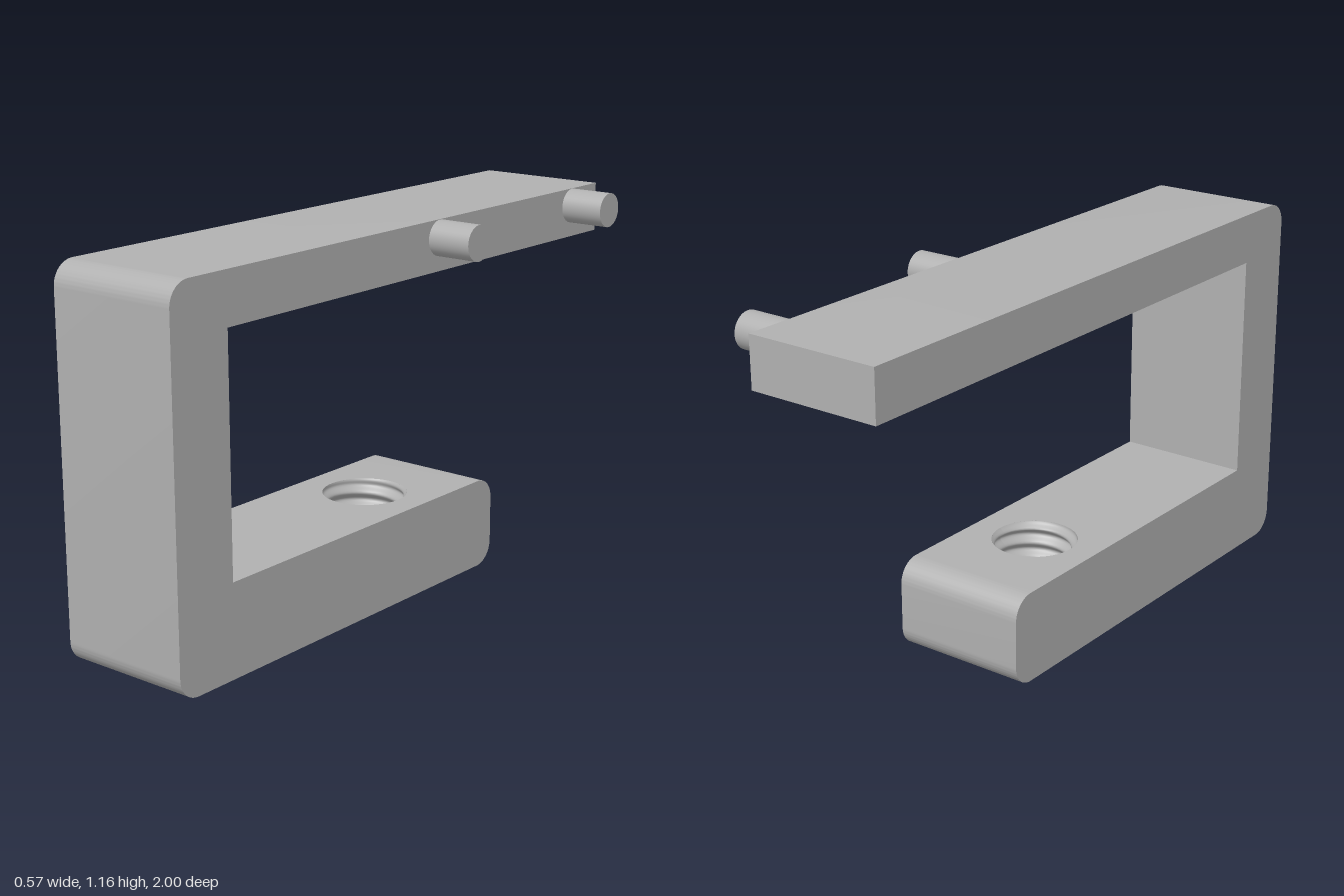
import * as THREE from 'three';
import { toCreasedNormals } from 'three/addons/utils/BufferGeometryUtils.js';

const RIGHT = -0.286, LEFT = 0.143, WIDTH = LEFT - RIGHT; // bracket sides
const ARM = 0.286, TOP = 1.157, ROUND = 0.07;
const HOLE = { x: -0.0715, z: -0.05, r: 0.132, depth: 0.02, pitch: 0.05 };
const CUT_F = 0.15, CUT_B = -0.25; // section of the lower arm that holds the hole

// Extrude a (z, y) side profile across the bracket's width
function sideExtrude(shape) {
  const g = new THREE.ExtrudeGeometry(shape, { depth: WIDTH, bevelEnabled: false, curveSegments: 10 });
  g.rotateY(-Math.PI / 2);
  g.translate(LEFT, 0, 0);
  return toCreasedNormals(g, 0.6);
}

// Threaded wall: radius follows a helix and runs out at both ends
function threadGeometry() {
  const seg = 48, rows = 72, pos = [], index = [];
  for (let j = 0; j <= rows; j++) {
    const y = (ARM * j) / rows;
    const fade = Math.min(1, y / 0.02, (ARM - y) / 0.02);
    for (let i = 0; i <= seg; i++) {
      const a = (i / seg) * Math.PI * 2;
      const wave = 0.5 - 0.5 * Math.cos((y / HOLE.pitch) * Math.PI * 2 + a);
      const r = HOLE.r - HOLE.depth * wave * fade;
      pos.push(r * Math.cos(a), y, r * Math.sin(a));
      if (i < seg && j < rows) {
        const p = j * (seg + 1) + i, q = p + seg + 1;
        index.push(p, p + 1, q, p + 1, q + 1, q);
      }
    }
  }
  const g = new THREE.BufferGeometry();
  g.setAttribute('position', new THREE.Float32BufferAttribute(pos, 3));
  g.setIndex(index);
  g.computeVertexNormals();
  return g;
}

export function createModel() {
  const group = new THREE.Group();
  const grey = new THREE.MeshStandardMaterial({ color: 0xb0b0b0 });
  grey.name = 'grey';
  const add = (name, geometry, x = 0, y = 0, z = 0) => {
    const mesh = new THREE.Mesh(geometry, grey);
    mesh.name = name;
    mesh.position.set(x, y, z);
    group.add(mesh);
    return mesh;
  };

  // Upper arm, front wall and the start of the lower arm
  const frame = new THREE.Shape();
  frame.moveTo(CUT_F, 0);
  frame.lineTo(1 - ROUND, 0);
  frame.absarc(1 - ROUND, ROUND, ROUND, -Math.PI / 2, 0);
  frame.lineTo(1, TOP - ROUND);
  frame.absarc(1 - ROUND, TOP - ROUND, ROUND, 0, Math.PI / 2);
  frame.lineTo(-1, TOP);
  frame.lineTo(-1, 1);
  frame.lineTo(0.786, 1);
  frame.lineTo(0.786, ARM);
  frame.lineTo(CUT_F, ARM);
  add('frame', sideExtrude(frame));

  // Lower arm section with a round hole
  const plate = new THREE.Shape();
  plate.moveTo(RIGHT, CUT_B);
  plate.lineTo(LEFT, CUT_B);
  plate.lineTo(LEFT, CUT_F);
  plate.lineTo(RIGHT, CUT_F);
  const hole = new THREE.Path();
  hole.absarc(HOLE.x, HOLE.z, HOLE.r, 0, Math.PI * 2, true);
  plate.holes.push(hole);
  const block = new THREE.ExtrudeGeometry(plate, { depth: ARM, bevelEnabled: false, curveSegments: 48 });
  block.rotateX(Math.PI / 2);
  block.translate(0, ARM, 0);
  add('lowerArm', toCreasedNormals(block, 0.6));
  add('thread', threadGeometry(), HOLE.x, 0, HOLE.z);

  // Rounded end of the lower arm
  const back = -0.427;
  const end = new THREE.Shape();
  end.moveTo(CUT_B, 0);
  end.lineTo(CUT_B, ARM);
  end.lineTo(back + ROUND, ARM);
  end.absarc(back + ROUND, ARM - ROUND, ROUND, Math.PI / 2, Math.PI);
  end.lineTo(back, ROUND);
  end.absarc(back + ROUND, ROUND, ROUND, Math.PI, Math.PI * 1.5);
  add('lowerArmEnd', sideExtrude(end));

  // Two pegs on the left of the upper arm
  const peg = new THREE.CylinderGeometry(0.055, 0.055, 0.143, 40).rotateZ(Math.PI / 2);
  for (const z of [-0.143, -0.857]) add('peg', peg, LEFT + 0.0715, 1.101, z);

  return group;
}
